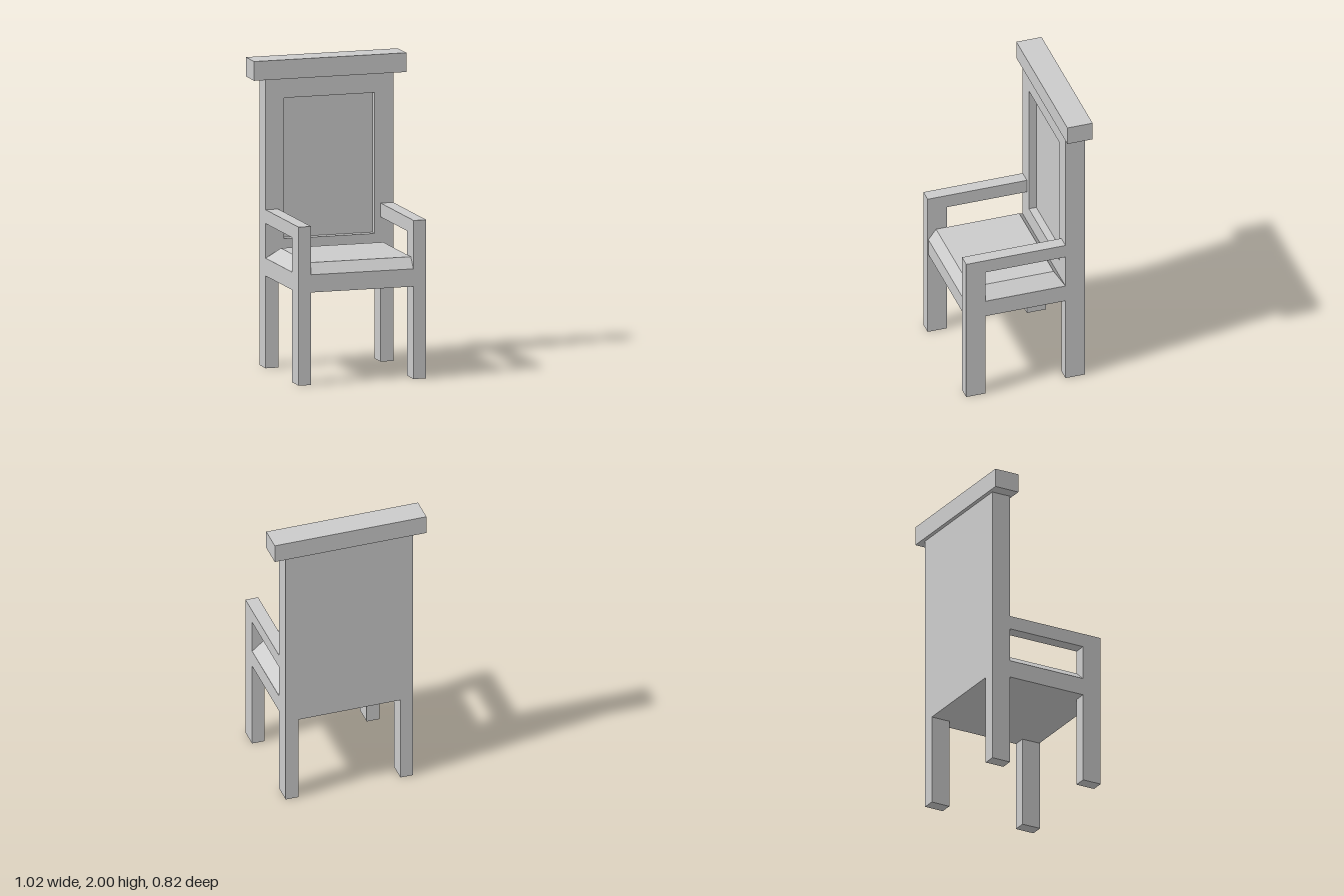
import * as THREE from 'three';

const material = new THREE.MeshStandardMaterial({ color: 0xcccccc, flatShading: true });

function part(name, geometry, x = 0, y = 0, z = 0) {
  const mesh = new THREE.Mesh(geometry, material);
  mesh.name = name;
  mesh.position.set(x, y, z);
  return mesh;
}

const shapeOf = (points) => new THREE.Shape(points.map(([x, y]) => new THREE.Vector2(x, y)));
const extrude = (shape, depth) => new THREE.ExtrudeGeometry(shape, { depth, bevelEnabled: false });

export function createModel() {
  const chair = new THREE.Group();
  chair.name = 'highBackChair';

  const outer = 0.43, inner = 0.345; // outer and inner faces of the legs
  const seatBottom = 0.6, seatTop = 0.715;
  const front = 0.41, backFront = -0.26, backRear = -0.39;
  const recess = 0.05;

  // Tall back with its two rear legs: a plain rear layer and a framed front layer
  const backOutline = [
    [-outer, 0], [-inner, 0], [-inner, seatBottom], [inner, seatBottom],
    [inner, 0], [outer, 0], [outer, 1.88], [-outer, 1.88],
  ];
  const frame = shapeOf(backOutline);
  frame.holes.push(shapeOf([[-0.305, 0.835], [-0.305, 1.75], [0.305, 1.75], [0.305, 0.835]]));
  const rearDepth = backFront - backRear - recess;
  chair.add(part('backPanel', extrude(shapeOf(backOutline), rearDepth), 0, 0, backRear));
  chair.add(part('backFrame', extrude(frame, recess), 0, 0, backFront - recess));

  // Overhanging top rail
  chair.add(part('topRail', new THREE.BoxGeometry(1.025, 0.125, 0.17), 0, 1.9375, -0.33));

  // Side frames: front leg, seat rail and armrest in one profile (z, y)
  const side = shapeOf([
    [backFront, seatBottom], [0.28, seatBottom], [0.28, 0], [front, 0],
    [front, 1.03], [backFront, 1.03], [backFront, 0.94], [0.28, 0.94],
    [0.28, seatTop], [backFront, seatTop],
  ]);
  const sideGeometry = extrude(side, outer - inner).rotateY(-Math.PI / 2);
  chair.add(part('leftArmAndLeg', sideGeometry, outer));
  chair.add(part('rightArmAndLeg', sideGeometry, -inner));

  // Seat board between the side frames
  const seatDepth = 0.405 - backFront;
  const seatZ = (0.405 + backFront) / 2;
  chair.add(part('seat', new THREE.BoxGeometry(2 * inner, seatTop - seatBottom, seatDepth),
    0, (seatTop + seatBottom) / 2, seatZ));

  // Cushion: a box whose top is drawn in to give four sloping sides
  const cushion = new THREE.BoxGeometry(2 * outer - 0.002, 0.07, seatDepth);
  const p = cushion.attributes.position;
  for (let i = 0; i < p.count; i++) {
    if (p.getY(i) < 0) continue;
    p.setX(i, Math.sign(p.getX(i)) * inner);
    p.setZ(i, Math.sign(p.getZ(i)) * (seatDepth / 2 - 0.052));
  }
  cushion.computeVertexNormals();
  chair.add(part('cushion', cushion, 0, seatTop + 0.035, seatZ));

  return chair;
}
